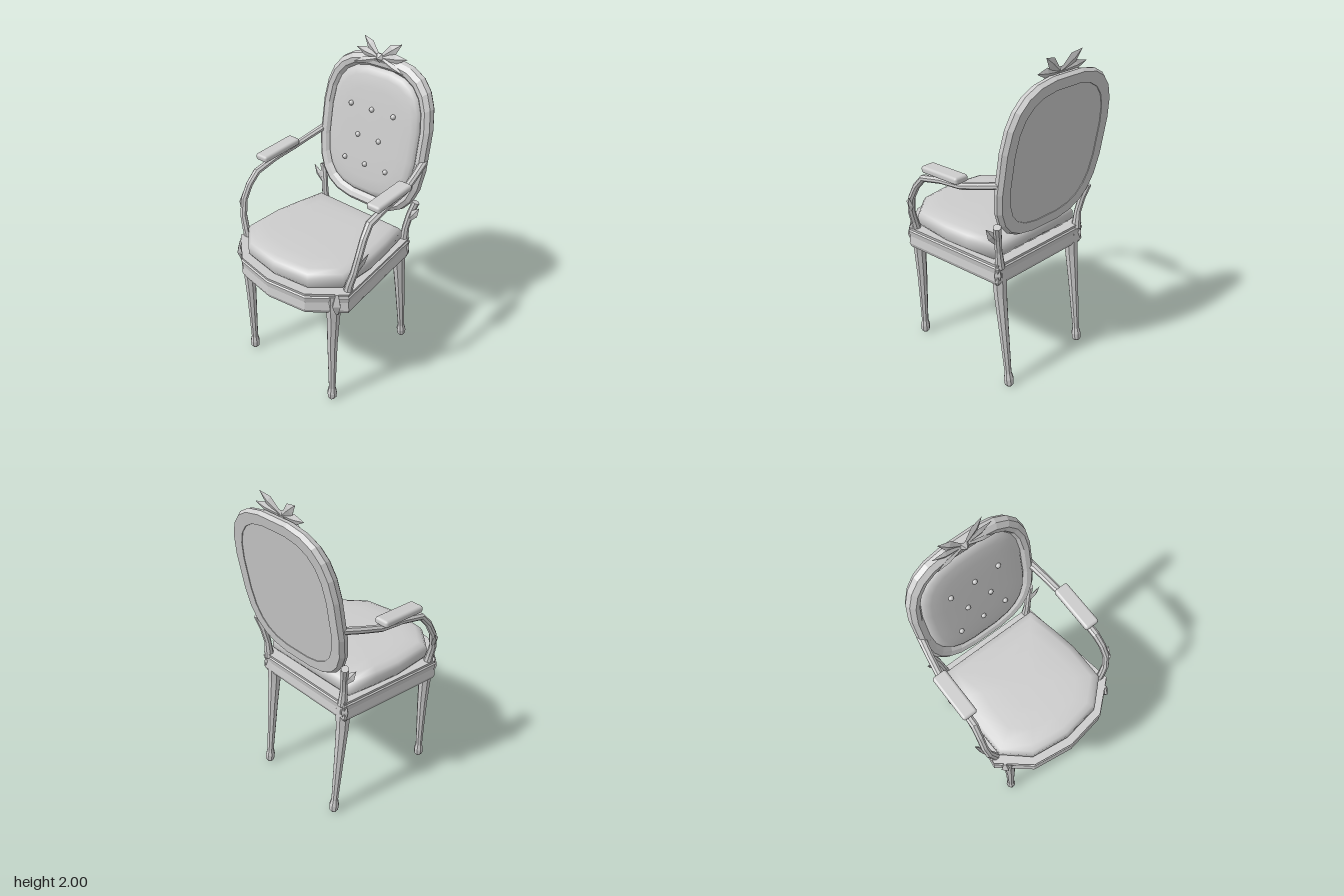
import * as THREE from 'three';
import { RoundedBoxGeometry } from 'three/addons/geometries/RoundedBoxGeometry.js';

const V = (x, y, z) => new THREE.Vector3(x, y, z);

// Skin a list of equal-length rings; open lofts get end caps, closed ones join up
function loft(rings, { closed = false, smooth = false } = {}) {
  const m = rings.length, n = rings[0].length, pts = rings.flat(), idx = [];
  for (let i = 0; i < (closed ? m : m - 1); i++) {
    for (let j = 0; j < n; j++) {
      const a = i * n + j, b = i * n + (j + 1) % n;
      const c = ((i + 1) % m) * n + j, d = ((i + 1) % m) * n + (j + 1) % n;
      idx.push(a, b, d, a, d, c);
    }
  }
  if (!closed) {
    for (const i of [0, m - 1]) {
      const centre = V(0, 0, 0);
      rings[i].forEach((p) => centre.addScaledVector(p, 1 / n));
      const k = pts.push(centre) - 1;
      for (let j = 0; j < n; j++) {
        const a = i * n + j, b = i * n + (j + 1) % n;
        idx.push(...(i ? [k, a, b] : [k, b, a]));
      }
    }
  }
  // Turn the faces outward if the enclosed volume is negative
  let volume = 0;
  for (let i = 0; i < idx.length; i += 3) {
    volume += pts[idx[i]].dot(pts[idx[i + 1]].clone().cross(pts[idx[i + 2]]));
  }
  if (volume < 0) idx.reverse();
  let geo = new THREE.BufferGeometry().setFromPoints(pts);
  geo.setIndex(idx);
  if (!smooth) geo = geo.toNonIndexed();
  geo.computeVertexNormals();
  return geo;
}

// Sweep a faceted section along stations [x, y, z, halfAcross, halfDeep]
function sweep(stations, sides = 8, ref = V(1, 0, 0), turn = 0.5) {
  const p = stations.map((s) => V(s[0], s[1], s[2]));
  return loft(stations.map(([, , , w, h = w], i) => {
    const t = p[Math.min(i + 1, p.length - 1)].clone().sub(p[Math.max(i - 1, 0)]).normalize();
    const across = ref.clone().addScaledVector(t, -ref.dot(t)).normalize();
    const deep = t.clone().cross(across);
    return Array.from({ length: sides }, (_, j) => {
      const a = ((j + turn) / sides) * Math.PI * 2;
      return p[i].clone().addScaledVector(across, Math.cos(a) * w).addScaledVector(deep, Math.sin(a) * h);
    });
  }));
}

// Pointed leaf with a ridge along its middle
function leaf(base, tip, width, thick, ref = V(0, 0, 1)) {
  const at = (k, w, h) => [...V(...base).lerp(V(...tip), k).toArray(), w, h];
  return sweep([at(0, 0.004, 0.008), at(0.6, thick, width), at(1, 0.001, 0.001)], 4, ref, 0);
}

// Mirror a half outline [x, z], given from front centre to back corner
function outline(half) {
  return [...half, ...half.slice().reverse().filter(([x]) => x > 0).map(([x, z]) => [-x, z])];
}

// Horizontal ring of an outline, grown by d at height y
function layer(points, d, y) {
  const hx = Math.max(...points.map((q) => q[0]));
  const zs = points.map((q) => q[1]);
  const mid = (Math.max(...zs) + Math.min(...zs)) / 2, hz = Math.max(...zs) - mid;
  return points.map(([x, z]) => V(x * (1 + d / hx), y, mid + (z - mid) * (1 + d / hz)));
}

// Reclined plane of the backrest
const backZ = (y, depth) => -0.42 - 0.15 * (y - 1.44) + depth;

// Rounded oval ring lying in the backrest plane
function oval(d, depth, n = 24) {
  return Array.from({ length: n }, (_, i) => {
    const a = ((i + 0.5) / n) * Math.PI * 2, c = Math.cos(a), s = Math.sin(a);
    const x = Math.sign(c) * Math.abs(c) ** (2 / 3) * (0.41 + d);
    const y = 1.44 + Math.sign(s) * Math.abs(s) ** (2 / 3) * (0.47 + d);
    return V(x, y, backZ(y, depth));
  });
}

export function createModel() {
  const group = new THREE.Group();
  const grey = new THREE.MeshStandardMaterial({ color: 0xcccccc });
  grey.name = 'lightGrey';
  const add = (name, geo) => {
    const mesh = new THREE.Mesh(geo, grey);
    mesh.name = name;
    group.add(mesh);
    return mesh;
  };

  // Seat rail with a moulded edge
  const railShape = outline([[0, 0.52], [0.26, 0.48], [0.45, 0.32], [0.36, -0.37]]);
  add('seatRail', loft([
    [-0.01, 0.715], [0, 0.74], [-0.006, 0.79], [0, 0.825], [-0.008, 0.832], [-0.004, 0.85],
    [-0.07, 0.85], [-0.07, 0.715],
  ].map(([d, y]) => layer(railShape, d, y)), { closed: true }));
  add('seatBase', loft([layer(railShape, -0.06, 0.82), layer(railShape, -0.06, 0.845)]));

  // Upholstered cushion
  const cushionShape = outline([
    [0, 0.47], [0.24, 0.435], [0.39, 0.3], [0.395, 0.05], [0.37, -0.12], [0.335, -0.31],
  ]);
  add('seatCushion', loft([
    [-0.02, 0.84], [0, 0.87], [0, 0.915], [-0.015, 0.94], [-0.05, 0.957], [-0.13, 0.965], [-0.25, 0.968],
  ].map(([d, y]) => layer(cushionShape, d, y)), { smooth: true }));

  // Backrest: frame, padded front, flat rear panel
  add('backFrame', loft([
    [0, -0.01], [-0.006, 0.02], [-0.03, 0.04], [-0.058, 0.032], [-0.08, 0.005], [-0.075, -0.033], [-0.015, -0.035],
  ].map(([d, z]) => oval(d, z)), { closed: true }));
  add('backPad', loft([
    [-0.07, -0.01], [-0.074, 0.012], [-0.09, 0.03], [-0.12, 0.041], [-0.19, 0.046], [-0.3, 0.048],
  ].map(([d, z]) => oval(d, z)), { smooth: true }));
  add('backPanel', loft([oval(-0.068, -0.029), oval(-0.068, -0.02)]));

  // Tufting buttons
  for (const [y, xs] of [[1.595, [-0.16, 0, 0.16]], [1.42, [-0.08, 0.08]], [1.25, [-0.16, 0, 0.16]]]) {
    for (const x of xs) {
      add('button', new THREE.SphereGeometry(0.016, 10, 8)).position.set(x, y, backZ(y, 0.05));
    }
  }

  // Carved crest: leaves fanned around a small boss
  const crest = [0, 1.9, -0.45];
  for (const s of [1, -1]) {
    add('crestLeaf', leaf(crest, [s * 0.135, 2, -0.475], 0.032, 0.012));
    add('crestLeaf', leaf(crest, [s * 0.185, 1.925, -0.465], 0.028, 0.012));
    add('crestLeaf', leaf(crest, [s * 0.18, 1.842, -0.44], 0.02, 0.012));
  }
  const boss = new THREE.ConeGeometry(0.032, 0.03, 5).toNonIndexed();
  boss.computeVertexNormals();
  const bossMesh = add('crestBoss', boss);
  bossMesh.position.set(0, 1.9, -0.435);
  bossMesh.rotation.x = Math.PI / 2;

  for (const s of [1, -1]) {
    const side = (list) => list.map(([x, ...rest]) => [s * x, ...rest]);

    // Tapered legs with rounded feet
    add('frontLeg', sweep(side([
      [0.35, 0, 0.345, 0.02], [0.35, 0.015, 0.345, 0.029], [0.35, 0.05, 0.345, 0.031],
      [0.35, 0.09, 0.345, 0.022], [0.35, 0.45, 0.345, 0.032], [0.355, 0.64, 0.345, 0.039],
      [0.355, 0.72, 0.345, 0.046], [0.355, 0.83, 0.345, 0.046],
    ])));
    add('backLeg', sweep(side([
      [0.313, 0, -0.418, 0.02], [0.313, 0.015, -0.418, 0.029], [0.313, 0.05, -0.413, 0.031],
      [0.313, 0.09, -0.408, 0.022], [0.312, 0.45, -0.362, 0.033], [0.31, 0.64, -0.337, 0.04],
      [0.308, 0.72, -0.33, 0.045], [0.308, 0.84, -0.325, 0.04],
    ])));

    // Carved diamonds on the rail corners
    add('cornerOrnament', sweep(side([
      [0.395, 0.715, 0.36, 0.012], [0.395, 0.78, 0.365, 0.032], [0.395, 0.85, 0.36, 0.012],
    ]), 4, V(1, 0, 0), 0));
    add('cornerOrnament', sweep(side([
      [0.345, 0.715, -0.35, 0.012], [0.345, 0.78, -0.352, 0.026], [0.345, 0.85, -0.35, 0.012],
    ]), 4, V(1, 0, 0), 0));

    // Stile joining the rail to the backrest
    add('backStile', sweep(side([
      [0.325, 0.82, -0.35, 0.03], [0.335, 0.93, -0.348, 0.022],
      [0.35, 1.02, -0.36, 0.022], [0.375, 1.11, -0.378, 0.024],
    ])));

    // Curved arm and its post
    add('arm', sweep(side([
      [0.385, 1.372, -0.41, 0.026, 0.02], [0.41, 1.335, -0.29, 0.024, 0.02], [0.432, 1.298, -0.16, 0.023, 0.02],
      [0.437, 1.277, 0, 0.023, 0.02], [0.442, 1.238, 0.155, 0.024, 0.021], [0.452, 1.17, 0.212, 0.022, 0.021],
      [0.458, 1.085, 0.255, 0.022, 0.021], [0.448, 0.98, 0.28, 0.023, 0.022], [0.425, 0.9, 0.288, 0.025, 0.022],
      [0.412, 0.84, 0.287, 0.028, 0.024],
    ])));
    const pad = add('armPad', new RoundedBoxGeometry(0.092, 0.042, 0.3, 2, 0.016));
    pad.position.set(s * 0.435, 1.327, -0.025);
    pad.rotation.x = 0.08;

    // Leaves curling off the arm post and the stile
    add('armLeaf', leaf([s * 0.452, 0.97, 0.28], [s * 0.5, 1.105, 0.225], 0.012, 0.03));
    add('stileLeaf', leaf([s * 0.34, 0.97, -0.352], [s * 0.425, 1.1, -0.343], 0.026, 0.012));
  }
  return group;
}
